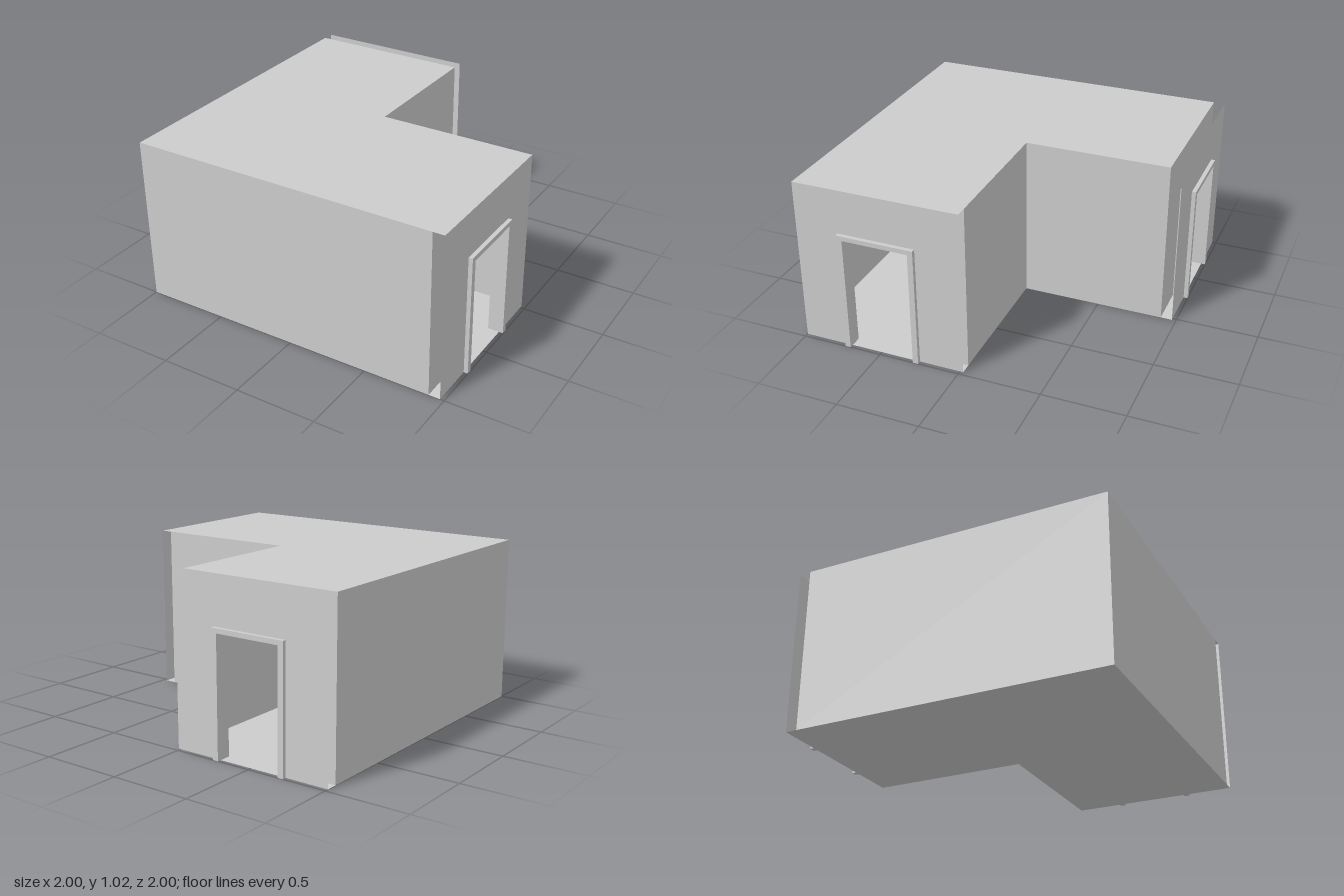
import * as THREE from 'three';

const H = 1.02;    // wall height
const GAP = 0.07;  // distance between inner and outer skins of a door wall
const LIP = 0.025; // how far a door frame stands proud of its wall

export function createModel() {
  const model = new THREE.Group();
  const material = new THREE.MeshStandardMaterial({ color: 0xcccccc, side: THREE.DoubleSide, flatShading: true });
  const poly = (pts) => new THREE.Shape(pts.map(([x, y]) => new THREE.Vector2(x, y)));
  const add = (parent, name, geometry) => {
    const mesh = new THREE.Mesh(geometry, material);
    mesh.name = name;
    parent.add(mesh);
    return mesh;
  };

  // Turns an object so its local x runs from one plan point [x, z] to the next; returns the length
  const place = (object, [x1, z1], [x2, z2]) => {
    object.position.set(x1, 0, z1);
    object.rotation.y = Math.atan2(z1 - z2, x2 - x1);
    return Math.hypot(x2 - x1, z2 - z1);
  };

  // Plain thin wall
  const wall = (name, a, b) => {
    const mesh = add(model, name, undefined);
    const w = place(mesh, a, b);
    mesh.geometry = new THREE.ShapeGeometry(poly([[0, 0], [w, 0], [w, H], [0, H]]));
  };

  // U-shaped outline standing on the ground: outer rectangle minus an open-bottomed doorway
  const arch = (o0, o1, oh, i0, i1, ih) =>
    poly([[o0, 0], [i0, 0], [i0, ih], [i1, ih], [i1, 0], [o1, 0], [o1, oh], [o0, oh]]);

  // Two wall skins with a doorway, plus the frame that lines it
  const doorWall = (name, a, b) => {
    const group = new THREE.Group();
    group.name = name;
    const w = place(group, a, b);
    const l = 0.272, r = 0.747, top = 0.747, f = 0.034;
    const skin = new THREE.ShapeGeometry(arch(0, w, H, l + 0.01, r - 0.01, top - 0.01));
    add(group, 'outerSkin', skin);
    add(group, 'innerSkin', skin).position.z = -GAP;
    const frame = new THREE.ExtrudeGeometry(arch(l, r, top, l + f, r - f, top - 0.028),
      { depth: GAP + LIP, bevelEnabled: false });
    add(group, 'doorFrame', frame).position.z = -GAP;
    model.add(group);
  };

  // L-shaped slab of no thickness whose back wing ends at the given z
  const slab = (name, y, backZ) => {
    const g = new THREE.ShapeGeometry(poly(
      [[-1, -1], [0.975, -1], [0.975, 0.02], [0.015, 0.02], [0.015, -backZ], [-1, -backZ]]));
    add(model, name, g.rotateX(-Math.PI / 2)).position.y = y;
  };

  slab('floor', 0, -0.975);
  slab('roof', H, -0.905);

  wall('frontWall', [-1, 1], [0.905, 1]);
  wall('innerCornerBackWall', [0.905, -0.02], [0.015, -0.02]);
  wall('innerCornerSideWall', [0.015, -0.02], [0.015, -0.905]);
  wall('rightWall', [-1, -0.905], [-1, 1]);

  doorWall('leftDoorWall', [0.975, 1], [0.975, -0.02]);
  doorWall('backDoorWall', [0.015, -0.975], [-1, -0.975]);

  return model;
}
